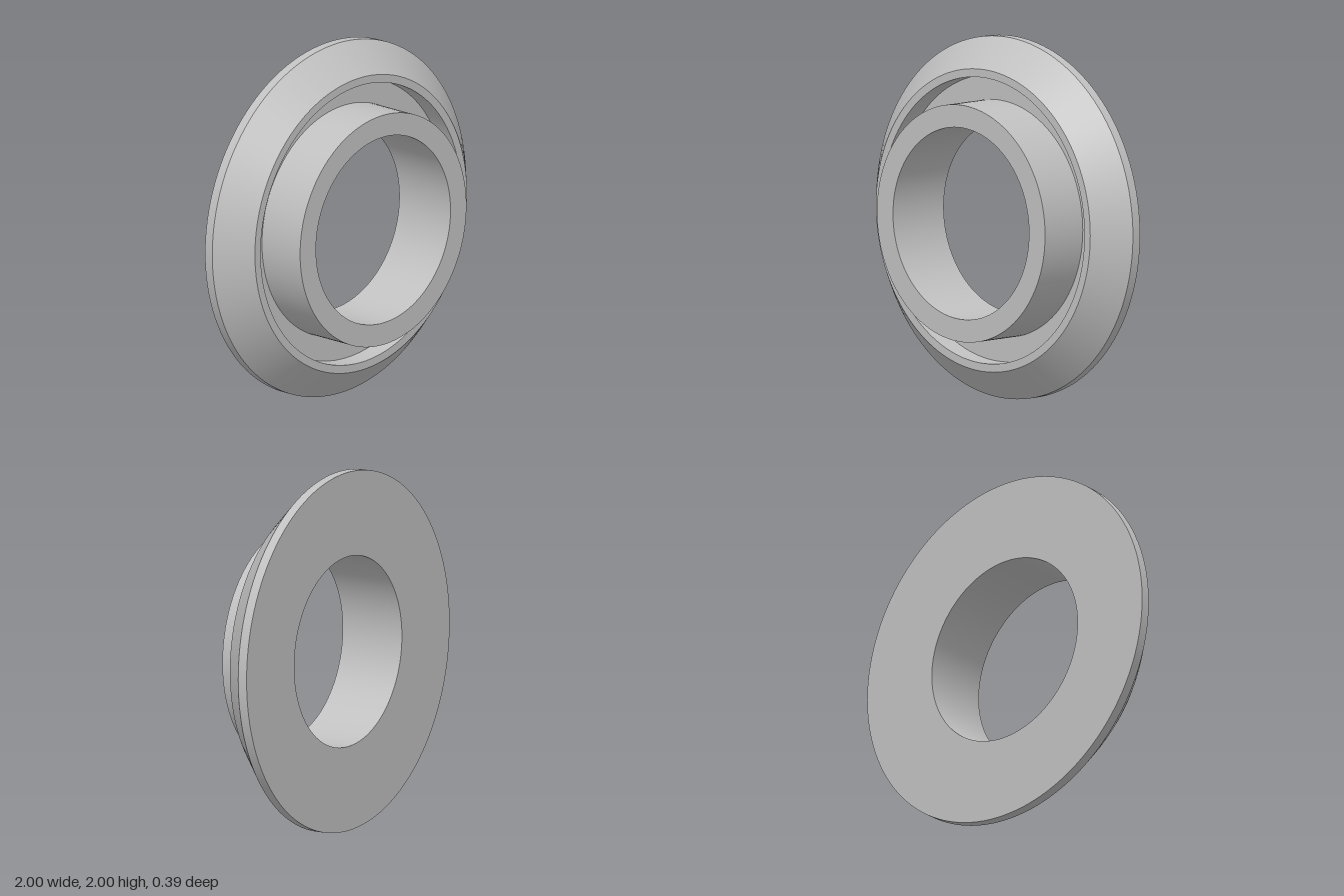
import * as THREE from 'three';
import { mergeGeometries } from 'three/addons/utils/BufferGeometryUtils.js';

const SEGMENTS = 128;

// Revolves each straight profile edge [radius, z] on its own, so corners stay sharp
// while the round direction stays smooth. Axis points along +z.
function turned(profile) {
  const bands = [];
  for (let i = 0; i < profile.length - 1; i++) {
    const edge = [profile[i], profile[i + 1]].map(([r, z]) => new THREE.Vector2(r, z));
    bands.push(new THREE.LatheGeometry(edge, SEGMENTS));
  }
  return mergeGeometries(bands).rotateX(Math.PI / 2);
}

export function createModel() {
  const group = new THREE.Group();
  group.name = 'flangedRing';

  const metal = new THREE.MeshStandardMaterial({ color: 0xc0c0c0 });
  metal.name = 'grey metal';

  const back = -0.195, front = 0.195;
  const lipZ = 0.025, grooveZ = -0.095, chamferZ = -0.14;
  const bore = 0.53, hubR = 0.655, grooveR = 0.79, lipR = 0.835;

  const add = (name, profile) => {
    const mesh = new THREE.Mesh(turned(profile), metal);
    mesh.name = name;
    mesh.position.y = 1;
    group.add(mesh);
  };

  // Flange: flat back, thin edge, bevel, narrow lip and recessed groove
  add('flange', [
    [bore, back], [1, back], [1, chamferZ], [lipR, lipZ],
    [grooveR, lipZ], [grooveR, grooveZ], [hubR, grooveZ],
  ]);

  // Hub: outer wall, front face and through bore
  add('hub', [[hubR, grooveZ], [hubR, front], [bore, front], [bore, back]]);

  return group;
}
